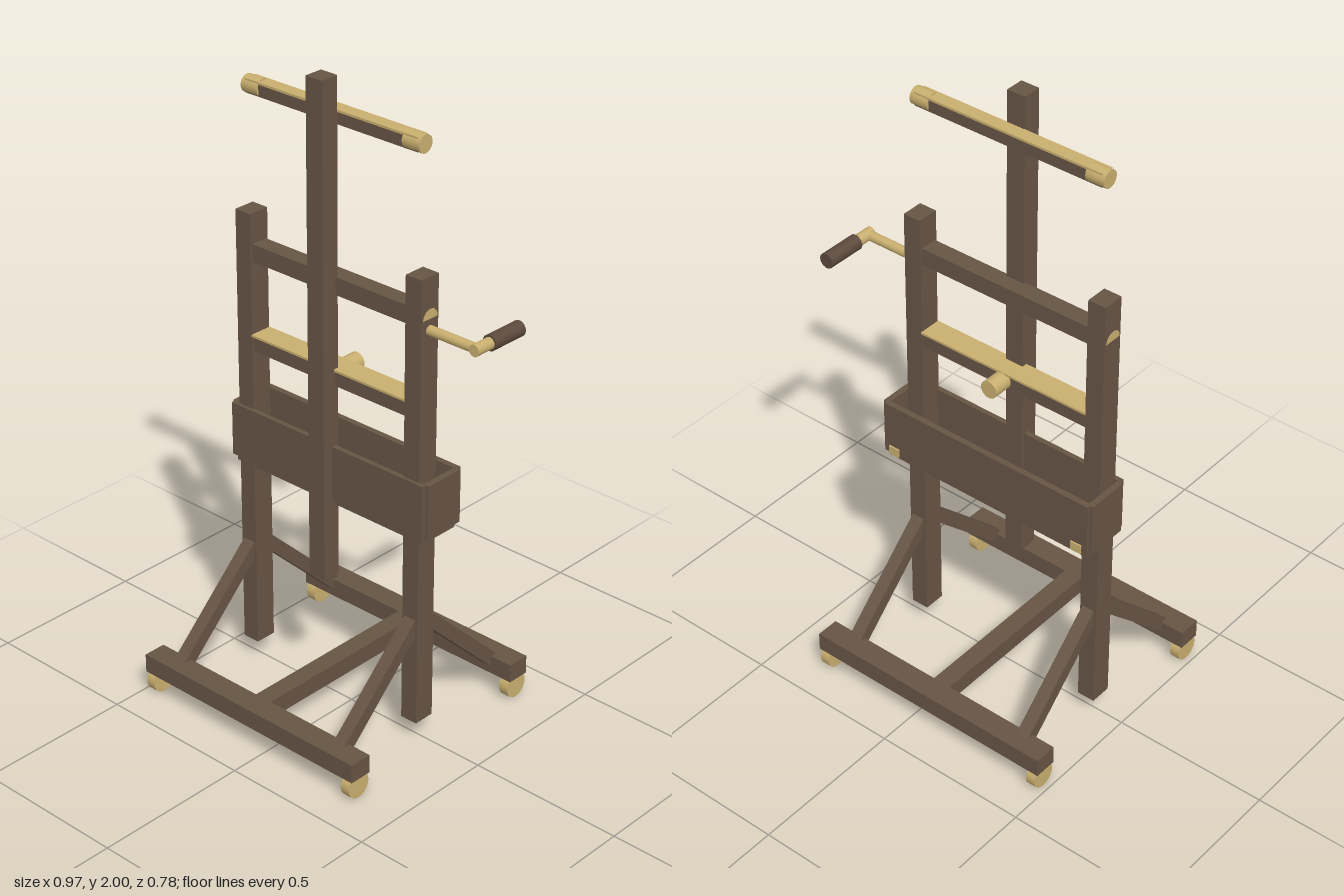
import * as THREE from 'three';

export function createModel() {
  const model = new THREE.Group();
  model.name = 'studioEasel';
  const mat = (name, color) => {
    const m = new THREE.MeshStandardMaterial({ color });
    m.name = name;
    return m;
  };
  const wood = mat('dark wood', 0x665444);
  const gripWood = mat('grip wood', 0x5b493b);
  const brass = mat('brass', 0xc8ae6e);

  const add = (name, geo, material) => {
    const mesh = new THREE.Mesh(geo, material);
    mesh.name = name;
    model.add(mesh);
    return mesh;
  };
  // Box given by its minimum and maximum on each axis
  const box = (name, material, x0, x1, y0, y1, z0, z1) => {
    const mesh = add(name, new THREE.BoxGeometry(x1 - x0, y1 - y0, z1 - z0), material);
    mesh.position.set((x0 + x1) / 2, (y0 + y1) / 2, (z0 + z1) / 2);
    return mesh;
  };
  // Cylinder lying along x or z
  const rod = (name, material, axis, r, length, x, y, z) => {
    const geo = new THREE.CylinderGeometry(r, r, length, 24);
    if (axis === 'x') geo.rotateZ(Math.PI / 2);
    else geo.rotateX(Math.PI / 2);
    const mesh = add(name, geo, material);
    mesh.position.set(x, y, z);
    return mesh;
  };

  const cx = -0.065; // centre line of the frame

  // Base: two feet, centre stretcher and wheels
  box('stretcher', wood, cx - 0.03, cx + 0.03, 0.071, 0.129, -0.32, 0.32);
  for (const s of [-1, 1]) {
    const zc = s * 0.35;
    box('foot', wood, cx - 0.423, cx + 0.423, 0.07, 0.13, zc - 0.037, zc + 0.037);
    for (const x of [-0.465, 0.335]) rod('wheel', brass, 'x', 0.041, 0.032, x, 0.041, zc);
  }

  // Uprights with a diagonal brace to each foot
  for (const side of [-1, 1]) {
    const x = cx + side * 0.325;
    box('upright', wood, x - 0.029, x + 0.029, 0.065, 1.5, -0.035, 0.035);
    for (const s of [-1, 1]) {
      const dy = 0.31, dz = 0.325;
      const brace = add('brace', new THREE.BoxGeometry(0.042, 0.042, Math.hypot(dy, dz)), wood);
      brace.position.set(x, 0.258, s * 0.172);
      brace.rotation.x = s * Math.atan2(dy, dz);
    }
    // Half-round axle plate on the outer face
    const plate = add('axlePlate', new THREE.CircleGeometry(0.03, 20, 0, Math.PI), brass);
    plate.rotation.y = side * Math.PI / 2;
    plate.position.set(x + side * 0.031, 1.375, 0);
  }

  // Sliding mast
  box('mast', wood, cx - 0.03, cx + 0.03, 0.44, 2, 0.02, 0.08);

  // Top clamp rail with brass strip and round end caps
  box('clampRail', wood, -0.385, 0.255, 1.858, 1.894, -0.02, 0.02);
  box('clampStrip', brass, -0.385, 0.255, 1.894, 1.901, -0.021, 0.021);
  for (const x of [-0.365, 0.235]) rod('clampCap', brass, 'x', 0.027, 0.062, x, 1.879, 0);

  // Upper crossbar, and lower crossbar with brass ledge and knob
  box('upperCrossbar', wood, -0.365, 0.235, 1.35, 1.405, -0.028, 0.028);
  box('lowerCrossbar', wood, -0.365, 0.235, 1.065, 1.113, -0.03, 0.03);
  box('ledge', brass, -0.362, 0.232, 1.113, 1.12, -0.037, 0.037);
  rod('knob', brass, 'z', 0.028, 0.065, cx, 1.09, -0.061);

  // Open tray around the uprights
  box('trayFront', wood, -0.44, 0.31, 0.702, 0.875, 0.03, 0.046);
  box('trayBack', wood, -0.44, 0.31, 0.702, 0.875, -0.117, -0.098);
  for (const x of [-0.45, 0.3]) box('trayEnd', wood, x, x + 0.02, 0.703, 0.874, -0.107, 0.03);
  box('trayBottom', wood, -0.433, 0.303, 0.68, 0.704, -0.104, 0.033);
  for (const x of [-0.403, 0.273]) {
    box('trayClip', brass, x - 0.018, x + 0.018, 0.7, 0.728, -0.122, -0.09);
  }

  // Crank handle
  rod('crankShaft', brass, 'x', 0.015, 0.2, 0.37, 1.34, 0);
  rod('crankArm', brass, 'z', 0.018, 0.066, 0.46, 1.34, -0.018);
  rod('crankGrip', gripWood, 'z', 0.024, 0.125, 0.46, 1.34, -0.1125);

  return model;
}
